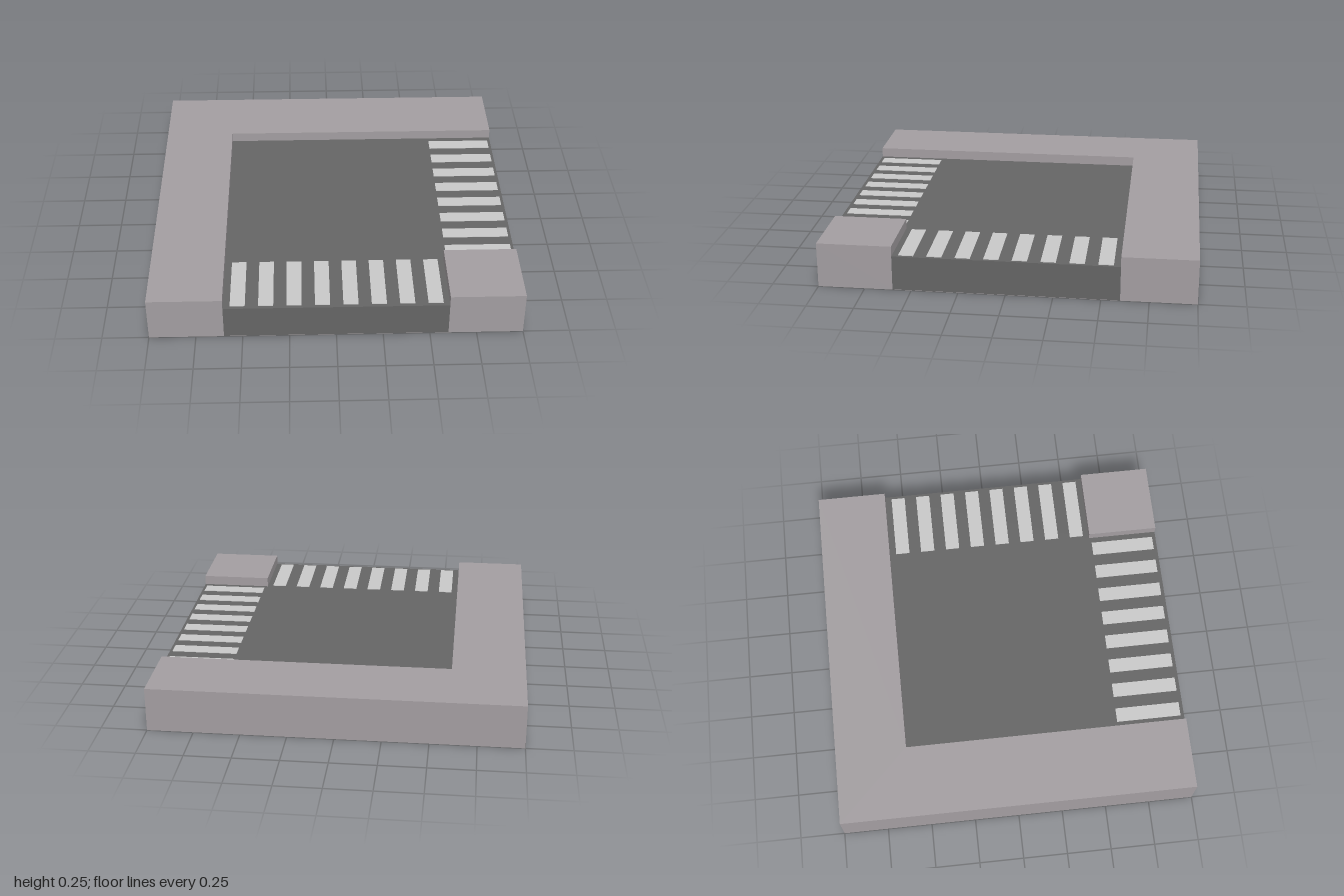
import * as THREE from 'three';

const pavement = new THREE.MeshStandardMaterial({ name: 'pavement grey', color: 0xa39ea1 });
const asphalt = new THREE.MeshStandardMaterial({ name: 'asphalt grey', color: 0x656565 });
const paint = new THREE.MeshStandardMaterial({ name: 'crossing paint', color: 0xc9c9c9 });

const BASE = 0.002, ROAD = 0.19, KERB = 0.245;

// Extrudes a ground plan, given as [x, z] corners, from y0 up to y1
function slab(name, plan, y0, y1, material) {
  const shape = new THREE.Shape(plan.map(([x, z]) => new THREE.Vector2(x, -z)));
  const geometry = new THREE.ExtrudeGeometry(shape, { depth: y1 - y0, bevelEnabled: false });
  geometry.rotateX(-Math.PI / 2).translate(0, y0, 0);
  const mesh = new THREE.Mesh(geometry, material);
  mesh.name = name;
  return mesh;
}

const rect = (x0, x1, z0, z1) => [[x0, z1], [x1, z1], [x1, z0], [x0, z0]];

export function createModel() {
  const model = new THREE.Group();
  model.name = 'roadCorner';

  // Underside, L-shaped sidewalk and the small corner block
  model.add(
    slab('base', rect(-1, 1, -1, 1), 0, BASE, pavement),
    slab('outerSidewalk',
      [[-1, 1], [-0.6, 1], [-0.6, -0.6], [1, -0.6], [1, -1], [-1, -1]], BASE, KERB, pavement),
    slab('cornerSidewalk', rect(0.6, 1, 0.6, 1), BASE, KERB, pavement),
  );

  // Road bending from the front edge to the left edge
  model.add(slab('road',
    [[-0.6, 1], [0.6, 1], [0.6, 0.6], [1, 0.6], [1, -0.6], [-0.6, -0.6]], BASE, ROAD, asphalt));

  // Crossing stripes on both road ends
  const frontCrossing = new THREE.Group();
  frontCrossing.name = 'frontCrossing';
  const sideCrossing = new THREE.Group();
  sideCrossing.name = 'sideCrossing';
  for (let i = 0; i < 8; i++) {
    const a = -0.563 + i * 0.15, b = a + 0.08;
    frontCrossing.add(slab('stripe', rect(a, b, 0.613, 0.98), ROAD, ROAD + 0.003, paint));
    sideCrossing.add(slab('stripe', rect(0.617, 0.984, a, b), ROAD, ROAD + 0.003, paint));
  }
  model.add(frontCrossing, sideCrossing);
  return model;
}
